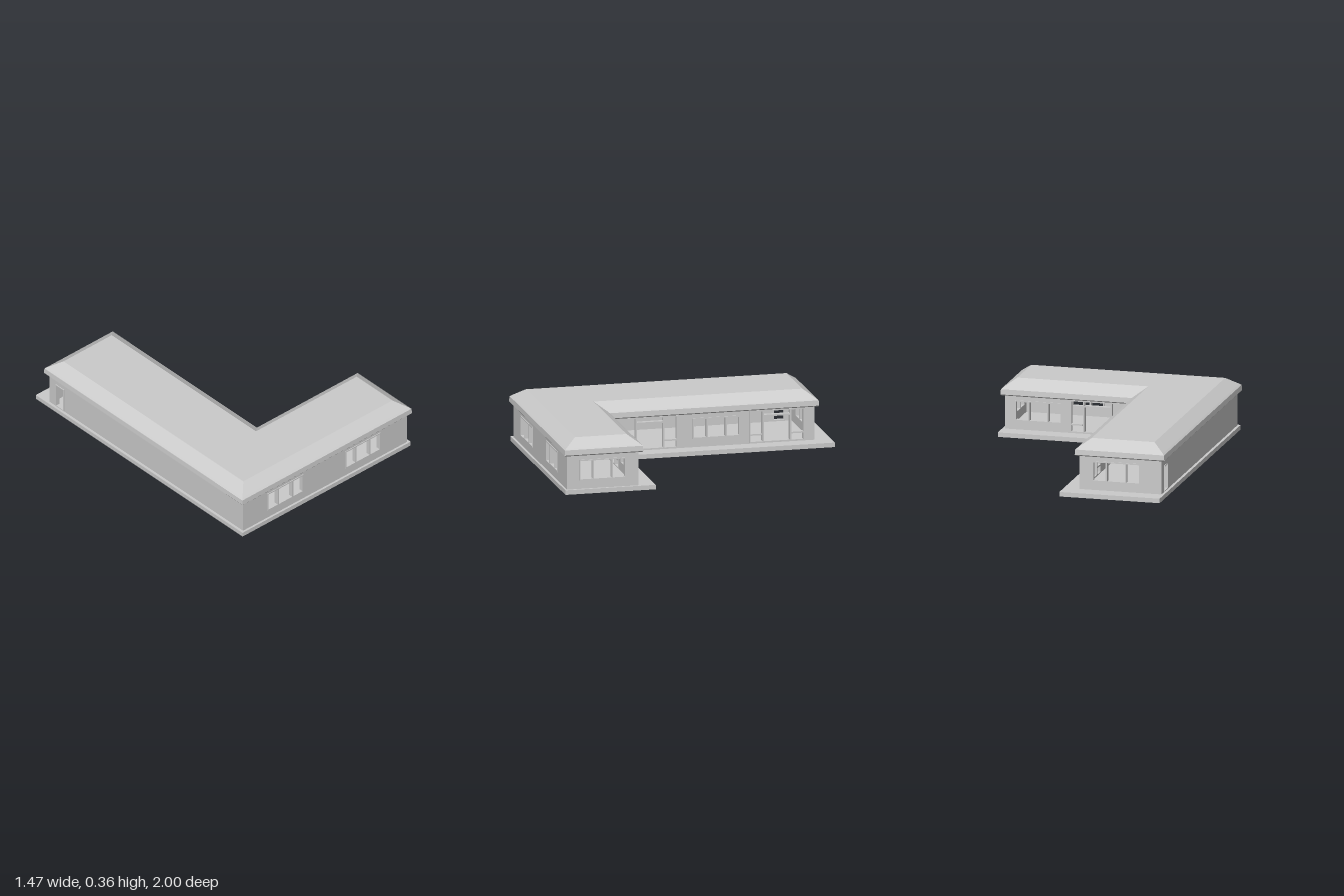
import * as THREE from 'three';

const mat = new THREE.MeshStandardMaterial({ color: 0xcccccc, flatShading: true, side: THREE.DoubleSide });
const T = 0.02; // wall thickness

// L-shaped outline as [x, z] pairs, moved inward by d
function outline([x0, z0, x1, z1, xi, zi], d = 0) {
  return [
    [x0 + d, z0 + d], [x0 + d, z1 - d], [x1 - d, z1 - d],
    [x1 - d, zi + d], [xi - d, zi + d], [xi - d, z0 + d],
  ];
}

// Stack of L-shaped rings [inset, y], closed at the bottom and top
function stackedL(name, plan, rings) {
  const loops = rings.map(([d, y]) => outline(plan, d).map(([x, z]) => [x, y, z]));
  const pos = [];
  for (let r = 0; r < loops.length - 1; r++) {
    for (let i = 0; i < 6; i++) {
      const j = (i + 1) % 6;
      const a = loops[r][i], b = loops[r][j], c = loops[r + 1][j], d = loops[r + 1][i];
      pos.push(...a, ...b, ...c, ...a, ...c, ...d);
    }
  }
  const top = loops[loops.length - 1], bottom = loops[0];
  // fan from the inner corner sees every other corner of the L
  for (let k = 0; k < 4; k++) {
    const i = (5 + k) % 6, j = (6 + k) % 6;
    pos.push(...top[4], ...top[i], ...top[j]);
    pos.push(...bottom[4], ...bottom[j], ...bottom[i]);
  }
  const geo = new THREE.BufferGeometry();
  geo.setAttribute('position', new THREE.Float32BufferAttribute(pos, 3));
  geo.computeVertexNormals();
  const mesh = new THREE.Mesh(geo, mat);
  mesh.name = name;
  return mesh;
}

function bar(parent, name, u0, u1, v0, v1, depth = T + 0.01) {
  const mesh = new THREE.Mesh(new THREE.BoxGeometry(u1 - u0, v1 - v0, depth), mat);
  mesh.position.set((u0 + u1) / 2, (v0 + v1) / 2, 0);
  mesh.name = name;
  parent.add(mesh);
}

// Frame around an opening
function frame(parent, name, [u0, u1, v0, v1], w = 0.008) {
  bar(parent, name, u0, u0 + w, v0, v1);
  bar(parent, name, u1 - w, u1, v0, v1);
  bar(parent, name, u0 + w, u1 - w, v0, v0 + w);
  bar(parent, name, u0 + w, u1 - w, v1 - w, v1);
}

// Three-light window
function addWindow(parent, hole) {
  frame(parent, 'windowFrame', hole);
  const [u0, u1, v0, v1] = hole;
  for (const f of [0.3, 0.7]) {
    const u = u0 + (u1 - u0) * f;
    bar(parent, 'windowMullion', u - 0.005, u + 0.005, v0 + 0.008, v1 - 0.008);
  }
}

// Wide doorway with a sidelight on either side
function addEntrance(parent, hole) {
  frame(parent, 'entranceFrame', hole);
  const [u0, u1, v0, v1] = hole, s = 0.092;
  for (const [a, b] of [[u0, u0 + s], [u1 - s, u1]]) {
    bar(parent, 'sidelightRail', a + 0.008, b, 0.083, 0.093);
  }
  for (const u of [u0 + s, u1 - s]) bar(parent, 'doorPost', u - 0.005, u + 0.005, v0, v1);
  bar(parent, 'doorTransom', u0 + s, u1 - s, 0.206, 0.217);
}

// Wall panel running from u0 to u1 with openings of several kinds
function wall(name, u0, u1, openings) {
  const group = new THREE.Group();
  group.name = name;
  const shape = new THREE.Shape();
  shape.moveTo(u0, 0.025).lineTo(u1, 0.025).lineTo(u1, 0.258).lineTo(u0, 0.258).closePath();
  for (const { kind, at } of openings) {
    const v = { window: [0.086, 0.223], entrance: [0.034, 0.25], door: [0.034, 0.205] }[kind];
    const hole = [...at, ...v], [a, b, c, d] = hole;
    shape.holes.push(new THREE.Path().moveTo(a, c).lineTo(a, d).lineTo(b, d).lineTo(b, c).closePath());
    if (kind === 'window') addWindow(group, hole);
    else if (kind === 'entrance') addEntrance(group, hole);
    else frame(group, 'sideDoorFrame', hole, 0.006);
  }
  const geo = new THREE.ExtrudeGeometry(shape, { depth: T, bevelEnabled: false });
  geo.translate(0, 0, -T / 2);
  const panel = new THREE.Mesh(geo, mat);
  panel.name = name + 'Panel';
  group.add(panel);
  return group;
}

export function createModel() {
  const model = new THREE.Group();
  model.name = 'house';

  // Floor slab with a terrace along the inner and rear sides
  model.add(stackedL('floorSlab', [-0.73, -1, 0.73, 0.99, -0.06, 0.39], [[0, 0], [0, 0.03]]));

  // Hipped roof with a fascia and flat top
  model.add(stackedL('roof', [-0.738, -0.915, 0.736, 0.997, -0.139, 0.473],
    [[0.006, 0.255], [0, 0.262], [0.003, 0.296], [0.014, 0.305], [0.09, 0.358]]));

  // Outer faces of the walls
  const X0 = -0.712, X1 = 0.713, XI = -0.165, Z0 = -0.89, Z1 = 0.975, ZI = 0.5;
  const win = (a, b) => ({ kind: 'window', at: [a, b] });
  const entrance = (a, b) => ({ kind: 'entrance', at: [a, b] });

  // Walls running along x
  const alongX = [
    ['frontWall', X0, X1, Z1 - T / 2, [win(-0.503, -0.192), win(0.172, 0.478)]],
    ['wingRearWall', XI - T, X1, ZI + T / 2, [entrance(-0.09, 0.275), win(0.33, 0.645)]],
    ['rearWall', X0, XI, Z0 + T / 2, [win(-0.57, -0.25)]],
  ];
  for (const [name, a, b, z, holes] of alongX) {
    const w = wall(name, a, b, holes);
    w.position.z = z;
    model.add(w);
  }

  // Walls running along z
  const alongZ = [
    ['wingEndWall', ZI + T, Z1 - T, X1 - T / 2, [win(0.582, 0.895)]],
    ['courtyardWall', Z0 + T, ZI, XI - T / 2,
      [entrance(0.02, 0.387), win(-0.395, -0.08), entrance(-0.822, -0.455)]],
    ['longOuterWall', Z0 + T, Z1 - T, X0 + T / 2, [{ kind: 'door', at: [-0.825, -0.745] }]],
  ];
  for (const [name, a, b, x, holes] of alongZ) {
    const w = wall(name, a, b, holes);
    w.rotation.y = -Math.PI / 2;
    w.position.x = x;
    model.add(w);
  }
  return model;
}
